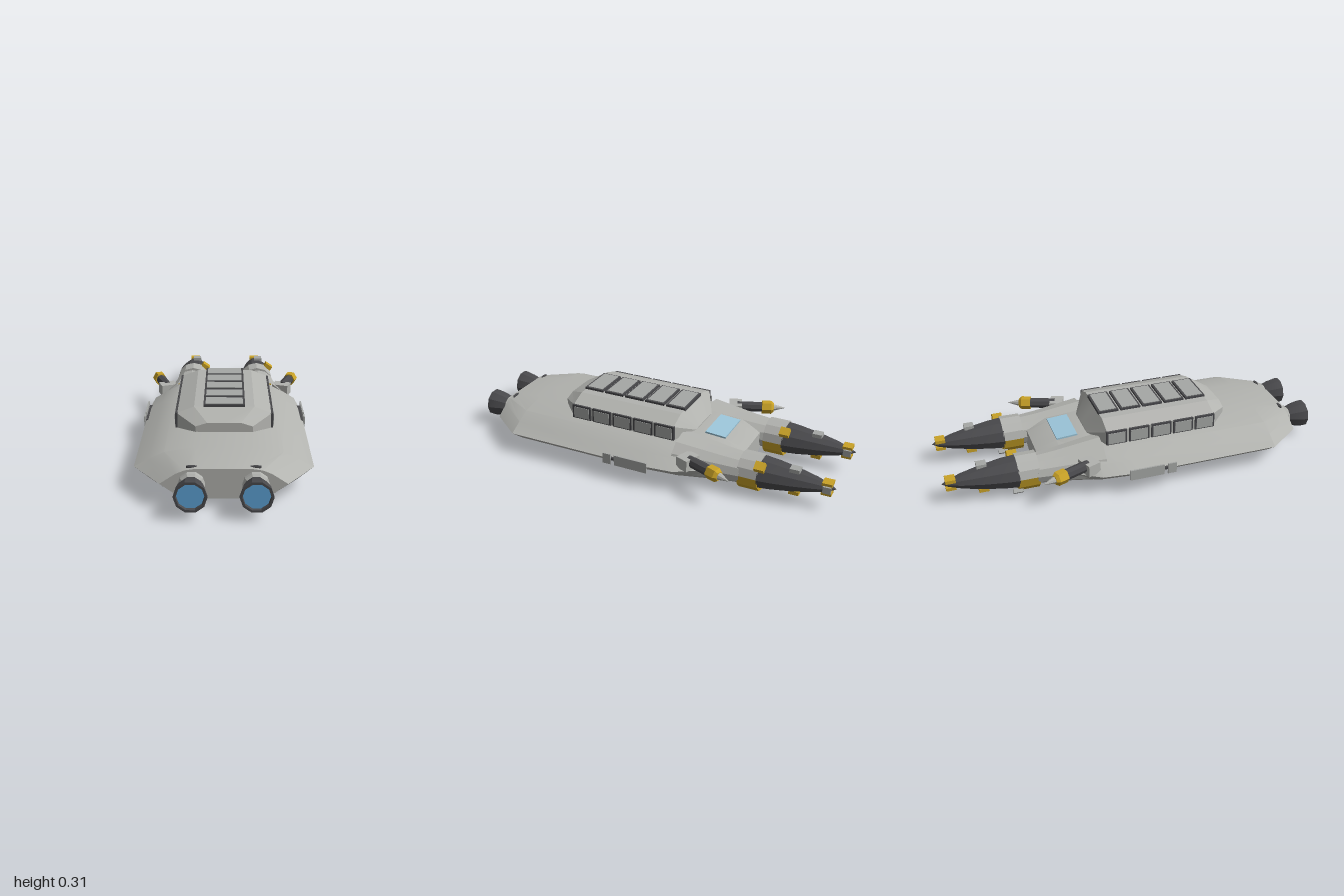
import * as THREE from 'three';
import { toCreasedNormals } from 'three/addons/utils/BufferGeometryUtils.js';

const mat = (name, color) => {
  const m = new THREE.MeshStandardMaterial({ color });
  m.name = name;
  return m;
};

// Loft mirrored half-profiles (top centre to bottom centre), ordered from +z to -z
function loft(sections) {
  const pos = [], idx = [];
  const n = (sections[0].pts.length - 1) * 2;
  for (const { z, pts } of sections) {
    const left = pts.slice(1, -1).reverse().map(([x, y]) => [-x, y]);
    for (const [x, y] of [...pts, ...left]) pos.push(x, y, z);
  }
  const last = (sections.length - 1) * n;
  for (let s = 0; s < sections.length - 1; s++) {
    for (let i = 0; i < n; i++) {
      const a = s * n + i, b = s * n + (i + 1) % n;
      idx.push(a, b, b + n, a, b + n, a + n);
    }
  }
  for (let i = 1; i < n - 1; i++) {
    idx.push(0, i + 1, i, last, last + i, last + i + 1);
  }
  const g = new THREE.BufferGeometry();
  g.setAttribute('position', new THREE.Float32BufferAttribute(pos, 3));
  g.setIndex(idx);
  return toCreasedNormals(g, 0.3);
}

export function createModel() {
  const root = new THREE.Group();
  root.name = 'spacecraft';
  const grey = mat('hull grey', 0xb2b3af);
  const panel = mat('panel grey', 0xa6a8a6);
  const dark = mat('dark metal', 0x49494c);
  const yellow = mat('yellow', 0xc9a227);
  const glow = mat('engine blue', 0x5da3d6);
  const glass = mat('window blue', 0x9cc6da);

  const add = (parent, name, geo, material, x = 0, y = 0, z = 0) => {
    const m = new THREE.Mesh(geo, material);
    m.name = name;
    m.position.set(x, y, z);
    parent.add(m);
    return m;
  };
  const box = (parent, name, material, size, at) =>
    add(parent, name, new THREE.BoxGeometry(...size), material, ...at);
  const flat = (g) => toCreasedNormals(g, 0.3);
  // Turned shape; dir 1 points it to +z, -1 to -z
  const turned = (pts, sides, dir) => flat(new THREE.LatheGeometry(
    pts.map(([r, h]) => new THREE.Vector2(r, h)), sides, Math.PI / 2).rotateX(dir * Math.PI / 2));

  // Wide faceted hull
  const section = (z, top, bottom, ...side) => ({ z, pts: [[0, top], ...side, [0, bottom]] });
  const wide = [[0.13, 0.205], [0.27, 0.18], [0.34, 0.147], [0.41, 0.108], [0.335, 0.047], [0.13, 0.008]];
  add(root, 'hull', loft([
    section(0.87, 0.18, 0.037, [0.12, 0.18], [0.17, 0.172], [0.21, 0.155], [0.28, 0.108], [0.2, 0.05], [0.12, 0.037]),
    section(0.69, 0.205, 0.008, ...wide),
    section(-0.05, 0.205, 0.008, ...wide),
    section(-0.24, 0.2, 0.012, [0.13, 0.2], [0.26, 0.178], [0.33, 0.145], [0.39, 0.108], [0.32, 0.05], [0.13, 0.012]),
    section(-0.4, 0.185, 0.026, [0.1, 0.185], [0.2, 0.175], [0.25, 0.14], [0.29, 0.108], [0.25, 0.055], [0.1, 0.026]),
    section(-0.51, 0.145, 0.037, [0.09, 0.145], [0.12, 0.14], [0.15, 0.125], [0.18, 0.105], [0.15, 0.06], [0.09, 0.037]),
  ]), grey);

  // Raised cabin with bevelled ends
  const cabin = (z, a, yt, b, ys) => section(z, yt, 0.185, [a, yt], [b, ys], [b, 0.185]);
  add(root, 'cabin', loft([
    cabin(0.51, 0.08, 0.25, 0.135, 0.232),
    cabin(0.41, 0.145, 0.295, 0.23, 0.262),
    cabin(-0.17, 0.145, 0.295, 0.23, 0.262),
    cabin(-0.24, 0.07, 0.206, 0.1, 0.2),
  ]), grey);

  // Roof hatches and side windows
  for (let i = 0; i < 5; i++) {
    const z = 0.36 - i * 0.12;
    box(root, 'roofFrame', dark, [0.2, 0.02, 0.108], [0, 0.296, z]);
    box(root, 'roofPanel', panel, [0.18, 0.004, 0.088], [0, 0.307, z]);
    for (const s of [-1, 1]) {
      box(root, 'sideFrame', dark, [0.016, 0.075, 0.108], [s * 0.229, 0.226, z]);
      box(root, 'sidePanel', panel, [0.006, 0.06, 0.09], [s * 0.2365, 0.224, z]);
    }
  }

  // Sloping window between the prongs
  const pane = box(root, 'window', glass, [0.21, 0.009, 0.11], [0, 0.197, -0.345]);
  pane.rotation.x = -0.07;

  for (const s of [-1, 1]) {
    // Engines
    const engine = new THREE.Group();
    engine.name = 'engine';
    engine.position.set(s * 0.14, 0.108, 0);
    root.add(engine);
    add(engine, 'collar', turned([[0.06, 0.85], [0.06, 0.89], [0.045, 0.905], [0, 0.905]], 10, 1), grey);
    add(engine, 'nozzle', turned([[0.045, 0.89], [0.052, 0.905], [0.066, 0.95], [0.073, 0.985],
      [0.073, 1], [0.062, 1], [0.06, 0.985]], 10, 1), dark);
    add(engine, 'exhaust', turned([[0.062, 0.985], [0, 0.985]], 10, 1), glow);
    add(engine, 'vent', new THREE.CylinderGeometry(0.025, 0.025, 0.02, 10), dark, 0, 0.067, 0.85).scale.z = 0.3;

    // Side plates
    box(root, 'sidePlate', panel, [0.008, 0.056, 0.18], [s * 0.415, 0.108, -0.02]);
    box(root, 'smallSidePlate', panel, [0.008, 0.056, 0.045], [s * 0.415, 0.108, 0.112]);
    box(root, 'plateStrut', dark, [0.03, 0.012, 0.22], [s * 0.398, 0.108, 0.01]);

    // Angled guns
    const gun = new THREE.Group();
    gun.name = 'gun';
    gun.position.set(s * 0.33, 0.155, -0.31);
    gun.rotation.y = -s * 0.36;
    root.add(gun);
    box(gun, 'mount', grey, [0.09, 0.06, 0.07], [0, -0.008, 0.02]);
    add(gun, 'barrel', turned([[0, -0.01], [0.028, -0.01], [0.028, 0.17], [0, 0.17]], 8, -1), dark);
    add(gun, 'muzzleBand', turned([[0, 0.125], [0.036, 0.125], [0.036, 0.175], [0.024, 0.19], [0, 0.19]], 6, -1), yellow);
    add(gun, 'muzzleTip', turned([[0.02, 0.185], [0, 0.255]], 8, -1), grey);

    // Forked prongs
    const prong = new THREE.Group();
    prong.name = 'prong';
    prong.position.set(s * 0.19, 0.107, 0);
    root.add(prong);
    const root0 = turned([[0.14, 0.2], [0.12, 0.32], [0.1, 0.44], [0.09, 0.54], [0, 0.54]], 12, -1);
    add(prong, 'prongRoot', root0, grey, s * 0.005).scale.y = 0.8;
    const halfRing = (name, r, start, material, sy) => {
      const g = new THREE.CylinderGeometry(r, r, 0.105, 6, 1, false, start, Math.PI).rotateX(-Math.PI / 2);
      add(prong, name, flat(g), material, 0, 0, -0.582).scale.y = sy;
    };
    halfRing('upperRing', 0.093, -Math.PI / 2, grey, 0.93);
    halfRing('lowerRing', 0.093, Math.PI / 2, yellow, 1.08);
    add(prong, 'prongCone', turned([[0.096, 0.63], [0.088, 0.7], [0.07, 0.8], [0.045, 0.9],
      [0.02, 0.97], [0, 1]], 10, -1), dark).scale.y = 0.85;

    // Small blocks on each cone
    box(prong, 'tipBlockTop', yellow, [0.055, 0.018, 0.05], [-0.003, 0.022, -0.957]);
    box(prong, 'tipBlockBottom', yellow, [0.045, 0.016, 0.05], [0.003, -0.026, -0.957]);
    box(prong, 'tipFin', panel, [0.014, 0.035, 0.04], [0.028, 0, -0.96]);
    box(prong, 'topBlock', panel, [0.045, 0.02, 0.05], [0.015, 0.064, -0.8]);
    box(prong, 'bottomBlock', yellow, [0.045, 0.02, 0.05], [0, -0.066, -0.8]);
    const outer = box(prong, 'baseBlock', yellow, [0.045, 0.03, 0.05], [0.07, 0.064, -0.64]);
    outer.rotation.z = -0.6;
    const under = box(prong, 'underBlock', panel, [0.02, 0.02, 0.05], [-0.063, -0.078, -0.64]);
    under.rotation.z = Math.PI / 4;
  }
  return root;
}
